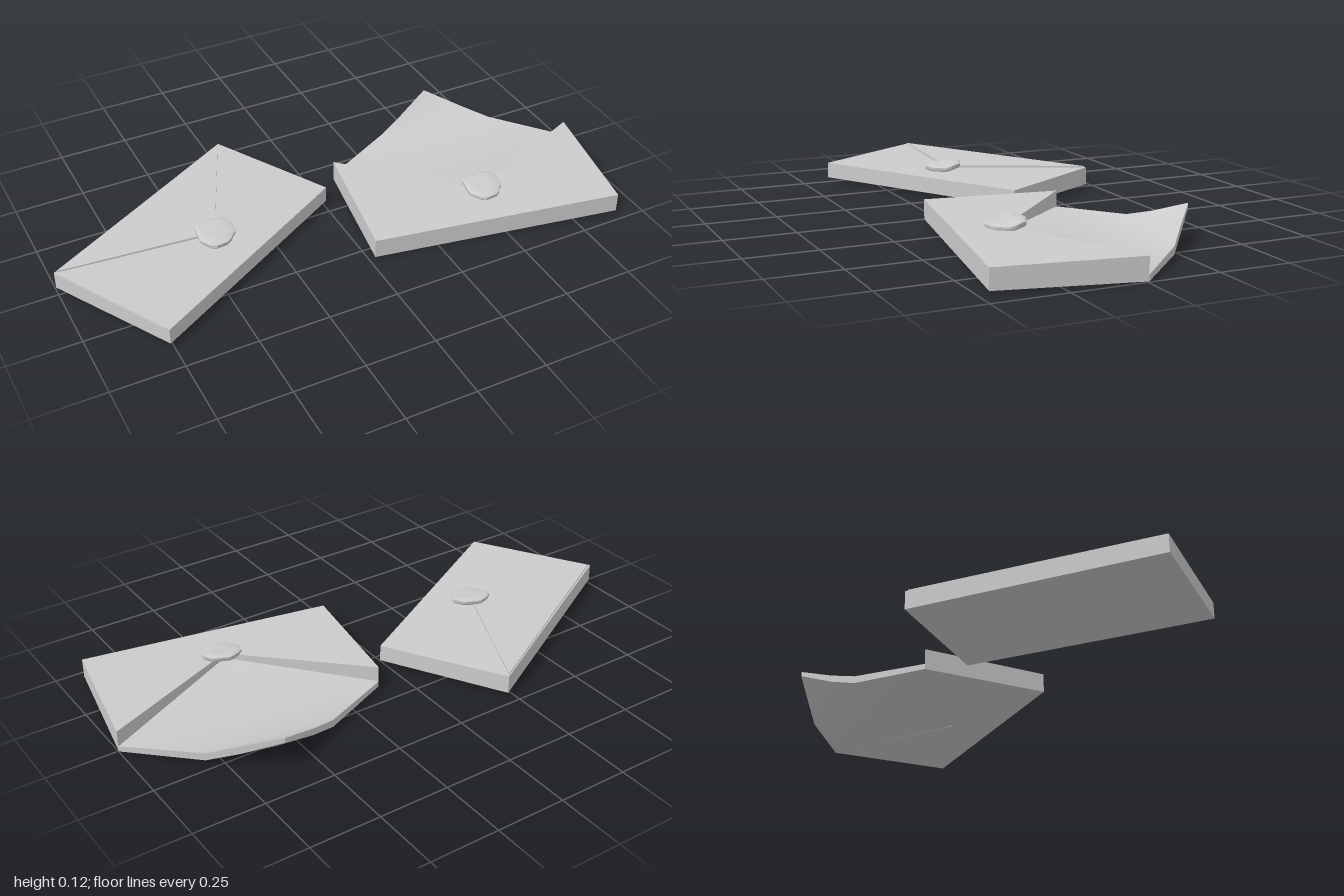
import * as THREE from 'three';
import { toCreasedNormals } from 'three/addons/utils/BufferGeometryUtils.js';

const material = new THREE.MeshStandardMaterial({ color: 0xcccccc, side: THREE.DoubleSide });

// Skin a stack of equal-length rings of [x, y, z] and close both ends with fans
function loft(name, rings) {
  const n = rings[0].length, index = [];
  for (let r = 0; r < rings.length - 1; r++) {
    for (let i = 0; i < n; i++) {
      const a = r * n + i, b = r * n + (i + 1) % n;
      index.push(a, b, b + n, a, b + n, a + n);
    }
  }
  const last = (rings.length - 1) * n;
  for (let i = 1; i < n - 1; i++) {
    index.push(0, i + 1, i, last, last + i, last + i + 1);
  }
  const geometry = new THREE.BufferGeometry();
  geometry.setAttribute('position', new THREE.Float32BufferAttribute(rings.flat(2), 3));
  geometry.setIndex(index);
  geometry.computeVertexNormals();
  const mesh = new THREE.Mesh(toCreasedNormals(geometry, 0.6), material);
  mesh.name = name;
  return mesh;
}

// Flat slab; outline points are [x, z, bottom, top], counter-clockwise from above
function slab(name, outline) {
  return loft(name, [
    outline.map(([x, z, low]) => [x, low, z]),
    outline.map(([x, z, , high]) => [x, high, z]),
  ]);
}

// Irregular wax blob, its back half lifted over the flap edge
function waxSeal(x, z) {
  const sides = 20;
  const ring = (radius, y) => Array.from({ length: sides }, (_, i) => {
    const a = -i / sides * Math.PI * 2;
    const r = radius * (1 + 0.05 * Math.cos(3 * a + 0.6) + 0.04 * Math.sin(7 * a));
    const dz = r * Math.sin(a);
    const lift = 0.013 * THREE.MathUtils.smoothstep(-dz, -0.03, 0.035);
    return [x + r * Math.cos(a), y + lift, z + dz];
  });
  return loft('waxSeal', [ring(0.062, 0.073), ring(0.066, 0.079), ring(0.066, 0.089), ring(0.056, 0.094), ring(0.02, 0.092)]);
}

function closedEnvelope() {
  const group = new THREE.Group();
  group.name = 'closedEnvelope';
  group.add(
    slab('envelopeBody', [
      [-0.76, 0.4, 0.015, 0.073], [0.01, 0.045 - 0.09, 0.014, 0.073],
      [-0.23, -0.462, 0.012, 0.078], [-1, -0.022, 0.015, 0.078],
    ]),
    // folded flap, barely lifted from the pocket
    slab('closedFlap', [
      [-0.45, 0.03, 0.08, 0.088], [-0.235, -0.455, 0.077, 0.083], [-0.99, -0.02, 0.077, 0.083],
    ]),
    waxSeal(-0.45, 0.035),
  );
  return group;
}

function openEnvelope() {
  const group = new THREE.Group();
  group.name = 'openEnvelope';
  // pocket with a V-shaped mouth
  group.add(slab('envelopePocket', [
    [0.49, 0.215, 0.003, 0.079], [0.1, -0.165, 0.002, 0.079], [0.022, 0.305, 0.006, 0.076],
    [0.91, 0.462, 0.007, 0.076], [1, -0.005, 0.002, 0.079],
  ]));
  // inner floor running on into the raised flap: three points [x, z, bottom, top] across each row
  const rows = [
    [[0.47, 0.205, 0.003, 0.06], [0.49, 0.21, 0.003, 0.06], [0.51, 0.205, 0.003, 0.06]],
    [[0.1, -0.165, 0.002, 0.022], [0.55, -0.085, 0, 0.022], [1, -0.005, 0.002, 0.022]],
    [[0.37, -0.292, 0.012, 0.039], [0.58, -0.25, 0.01, 0.033], [0.8, -0.215, 0.01, 0.037]],
    [[0.47, -0.332, 0.043, 0.068], [0.59, -0.305, 0.034, 0.058], [0.715, -0.288, 0.043, 0.071]],
    [[0.603, -0.385, 0.1, 0.117], [0.605, -0.385, 0.1, 0.117], [0.607, -0.385, 0.1, 0.117]],
  ];
  group.add(loft('openFlap', rows.map((row) => [
    ...row.map(([x, z, , high]) => [x, high, z]),
    ...row.map(([x, z, low]) => [x, low, z]).reverse(),
  ])));
  group.add(waxSeal(0.5, 0.215));
  return group;
}

export function createModel() {
  const model = new THREE.Group();
  model.name = 'envelopes';
  model.add(closedEnvelope(), openEnvelope());
  return model;
}
